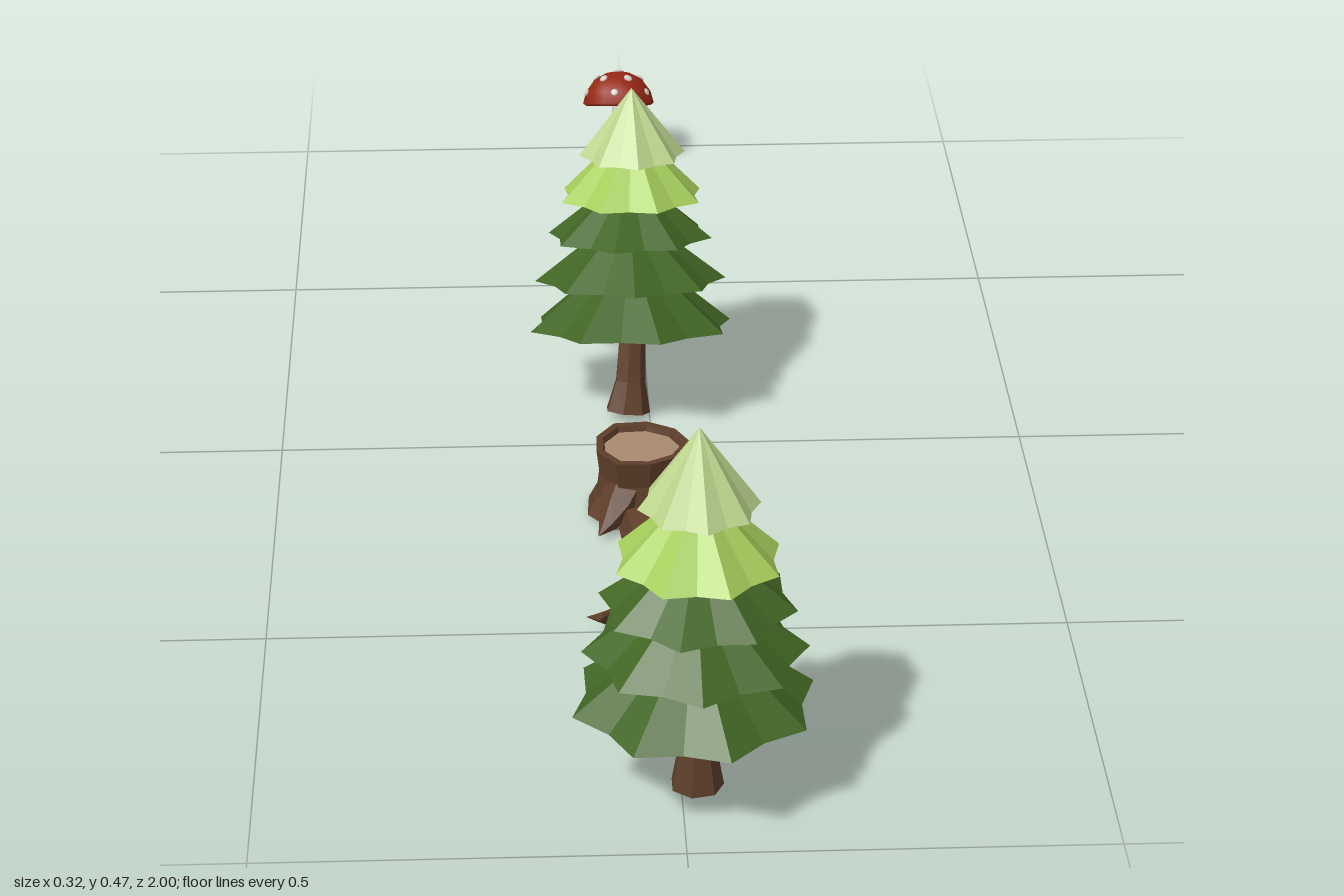
import * as THREE from 'three';

const mat = (name, color, side = THREE.FrontSide) => new THREE.MeshStandardMaterial({ name, color, side });
const M = {
  darkGreen: mat('dark green', 0x426624, THREE.DoubleSide),
  midGreen: mat('light green', 0xa6ce5c, THREE.DoubleSide),
  paleGreen: mat('pale green', 0xbcd68e, THREE.DoubleSide),
  bark: mat('bark', 0x5e3e2a),
  wood: mat('cut wood', 0xa88a70, THREE.DoubleSide),
  stone: mat('light stone', 0xa4a4a8),
  darkStone: mat('dark stone', 0x626266, THREE.DoubleSide),
  red: mat('cap red', 0x962814),
  cream: mat('cream', 0xd6d0cc),
  olive: mat('olive', 0x6e8644, THREE.DoubleSide),
};
const V = (x, y, z) => new THREE.Vector3(x, y, z);
const UP = V(0, 1, 0);

function add(parent, name, geo, material) {
  const mesh = new THREE.Mesh(geo, material);
  mesh.name = name;
  parent.add(mesh);
  return mesh;
}

function group(parent, name) {
  const g = new THREE.Group();
  g.name = name;
  parent.add(g);
  return g;
}

// Faceted skin over rings [x, y, z, radius]; wobble(angle, ring) scales the radius
function loft(rings, sides, axis = null, wobble = () => 1) {
  const pos = [], idx = [], q = new THREE.Quaternion(), n = rings.length;
  rings.forEach(([x, y, z, r], i) => {
    const a = rings[Math.max(i - 1, 0)], b = rings[Math.min(i + 1, n - 1)];
    q.setFromUnitVectors(UP, axis || V(b[0] - a[0], b[1] - a[1], b[2] - a[2]).normalize());
    for (let s = 0; s < sides; s++) {
      const t = s / sides * Math.PI * 2, k = r * wobble(t, i);
      const p = V(Math.cos(t) * k, 0, Math.sin(t) * k).applyQuaternion(q);
      pos.push(p.x + x, p.y + y, p.z + z);
      if (i < n - 1) {
        const b0 = i * sides + s, b1 = i * sides + (s + 1) % sides;
        idx.push(b0, b0 + sides, b1 + sides, b0, b1 + sides, b1);
      }
    }
  });
  const geo = new THREE.BufferGeometry();
  geo.setAttribute('position', new THREE.Float32BufferAttribute(pos, 3));
  geo.setIndex(idx);
  const flat = geo.toNonIndexed();
  flat.computeVertexNormals();
  return flat;
}

// Open cone whose rim is an eight-pointed star
function skirt(r, h, phase) {
  const geo = new THREE.ConeGeometry(r, h, 16, 1, true, phase).toNonIndexed();
  const p = geo.attributes.position;
  for (let i = 0; i < p.count; i++) {
    if (p.getY(i) > 0) continue;
    const step = Math.round((Math.atan2(p.getX(i), p.getZ(i)) - phase) / (Math.PI / 8));
    const k = step % 2 ? 0.86 : 1;
    p.setXYZ(i, p.getX(i) * k, p.getY(i), p.getZ(i) * k);
  }
  geo.translate(0, h / 2, 0);
  geo.computeVertexNormals();
  return geo;
}

// tiers: [x, y, z, radius, height, tilt in degrees]
function tree(parent, name, trunk, tiers) {
  const g = group(parent, name);
  add(g, 'trunk', loft(trunk, 7), M.bark);
  tiers.forEach(([x, y, z, r, h, tilt], i) => {
    const m = add(g, 'branchTier', skirt(r, h, 0.25 + i * 0.55), [M.darkGreen, M.darkGreen, M.darkGreen, M.midGreen, M.paleGreen][i]);
    m.position.set(x, y, z);
    m.rotation.x = -tilt * Math.PI / 180;
  });
}

// Faceted boulder with repeatable dents
function rock(parent, name, at, size, turn, material, seed) {
  const geo = new THREE.IcosahedronGeometry(1, 1), p = geo.attributes.position, v = V(0, 0, 0);
  for (let i = 0; i < p.count; i++) {
    v.fromBufferAttribute(p, i);
    const k = 0.94 + 0.12 * Math.sin(v.x * 4.1 + seed) * Math.cos(v.y * 3.3 + v.z * 5.2 + seed);
    p.setXYZ(i, v.x * k, Math.max(v.y * k, -0.8), v.z * k);
  }
  geo.scale(...size);
  geo.computeVertexNormals();
  const m = add(parent, name, geo, material);
  m.position.set(...at);
  m.rotation.y = turn;
}

export function createModel() {
  const root = new THREE.Group();
  root.name = 'forestSet';

  // Straight and leaning conifers
  tree(root, 'straightTree',
    [[0.018, 0.005, 0.86, 0], [0.018, 0.005, 0.86, 0.032], [0.018, 0.06, 0.86, 0.022], [0.018, 0.14, 0.86, 0.018], [0.018, 0.3, 0.86, 0.008]],
    [[0.014, 0.12, 0.858, 0.146, 0.115, 0], [0.016, 0.187, 0.858, 0.132, 0.1, 0], [0.018, 0.25, 0.86, 0.116, 0.09, 0],
      [0.018, 0.306, 0.86, 0.1, 0.1, 0], [0.019, 0.375, 0.86, 0.071, 0.1, 0]]);
  tree(root, 'leaningTree',
    [[-0.03, 0.008, -0.083, 0], [-0.03, 0.009, -0.083, 0.031], [-0.026, 0.05, -0.094, 0.021], [-0.022, 0.12, -0.115, 0.018], [-0.022, 0.28, -0.15, 0.008]],
    [[-0.024, 0.122, -0.118, 0.142, 0.115, 15], [-0.024, 0.185, -0.133, 0.13, 0.1, 14], [-0.024, 0.245, -0.146, 0.113, 0.09, 12],
      [-0.022, 0.3, -0.156, 0.1, 0.1, 9], [-0.021, 0.362, -0.157, 0.072, 0.093, 5]]);

  // Hollow fallen log with broken branches
  const log = group(root, 'fallenLog');
  add(log, 'logTrunk', loft([
    [-0.018, 0.045, 0.37, 0], [-0.018, 0.045, 0.37, 0.02], [-0.018, 0.045, 0.325, 0.028], [-0.018, 0.045, 0.315, 0.037],
    [-0.012, 0.045, 0.38, 0.036], [0, 0.043, 0.46, 0.035], [-0.005, 0.042, 0.56, 0.034], [-0.013, 0.044, 0.64, 0.035],
    [-0.013, 0.045, 0.709, 0.038], [-0.013, 0.045, 0.705, 0.028], [-0.013, 0.045, 0.66, 0.02], [-0.013, 0.045, 0.66, 0],
  ], 8, V(0, 0, 1), (t, i) => 1 + 0.05 * Math.sin(t * 3 + i)), M.bark);
  [
    [[0.01, 0.04, 0.44, 0.014], [0.045, 0.04, 0.42, 0.01], [0.06, 0.034, 0.41, 0.009], [0.08, 0.032, 0.4, 0]],
    [[0.045, 0.04, 0.42, 0.007], [0.06, 0.05, 0.428, 0.005], [0.068, 0.05, 0.43, 0]],
    [[-0.02, 0.04, 0.53, 0.014], [-0.06, 0.043, 0.525, 0.01], [-0.08, 0.033, 0.52, 0.008], [-0.102, 0.026, 0.505, 0]],
    [[-0.07, 0.036, 0.52, 0.007], [-0.085, 0.045, 0.54, 0.005], [-0.09, 0.045, 0.55, 0]],
    [[0.005, 0.05, 0.62, 0.014], [0.035, 0.065, 0.615, 0.01], [0.06, 0.085, 0.61, 0.007], [0.068, 0.09, 0.605, 0]],
  ].forEach(b => add(log, 'brokenBranch', loft(b, 6), M.bark));

  // Stump with raised rim, pale cut face and roots
  const stump = group(root, 'stump');
  const sx = -0.022, sz = 0.18;
  add(stump, 'stumpBody', loft([
    [sx, 0.006, sz, 0], [sx, 0.006, sz, 0.075], [sx, 0.03, sz, 0.062], [sx, 0.06, sz, 0.058],
    [sx, 0.097, sz, 0.063], [sx, 0.097, sz, 0.053], [sx, 0.086, sz, 0.05],
  ], 9, UP, (t, i) => 1 + 0.05 * Math.sin(t * 3 + 1 + i * 0.1)), M.bark);
  const cut = add(stump, 'cutFace', new THREE.CircleGeometry(0.054, 9), M.wood);
  cut.rotation.x = -Math.PI / 2;
  cut.position.set(sx, 0.089, sz);
  [[-0.04, 0.05], [0.072, 0.25], [-0.08, 0.27], [0.035, 0.1]].forEach(([x, z], i) => {
    const k = f => [sx + (x - sx) * f, sz + (z - sz) * f];
    const p = (f, y, r) => [k(f)[0], y, k(f)[1], r];
    add(stump, 'root', loft(i < 3 ? [p(0.25, 0.055, 0.03), p(0.55, 0.03, 0.025), p(0.8, 0.016, 0.012), p(1, 0.009, 0)]
      : [p(0.3, 0.045, 0.025), p(0.7, 0.02, 0.015), p(0.9, 0.01, 0)], 6), M.bark);
  });

  // Rock pile
  const rocks = group(root, 'rockPile');
  rock(rocks, 'topRock', [-0.04, 0.062, -0.362], [0.038, 0.042, 0.044], 0.5, M.stone, 1);
  rock(rocks, 'sideRock', [-0.065, 0.033, -0.395], [0.036, 0.034, 0.042], 0.6, M.darkStone, 3);
  rock(rocks, 'frontRock', [-0.04, 0.03, -0.315], [0.03, 0.03, 0.03], 0.2, M.darkStone, 5);
  rock(rocks, 'lowRock', [-0.02, 0.026, -0.375], [0.028, 0.027, 0.048], -0.2, M.darkStone, 2);

  // Grass tuft: curved tapering blades
  const grass = group(root, 'grassTuft');
  for (let i = 0; i < 16; i++) {
    const a = i * 2.4, reach = 0.012 + 0.032 * ((i * 7) % 16) / 16, h = 0.115 - reach * 1.1;
    const at = (f, y, r) => [-0.035 + Math.cos(a) * (0.008 + reach * f), 0.008 + y * h, -0.555 + Math.sin(a) * (0.008 + reach * f), r];
    add(grass, 'blade', loft([at(0, 0, 0.0035), at(0.3, 0.5, 0.003), at(1, 1, 0)], 3), M.darkGreen);
  }

  // Three small plants with star-shaped heads
  const star = new THREE.Shape();
  for (let i = 0; i < 12; i++) {
    const a = i / 12 * Math.PI * 2, r = i % 2 ? 0.009 : 0.027;
    star[i ? 'lineTo' : 'moveTo'](Math.cos(a) * r, Math.sin(a) * r);
  }
  const starGeo = new THREE.ShapeGeometry(star);
  [[-0.672, M.darkStone], [-0.757, M.bark], [-0.832, M.olive]].forEach(([z, m]) => {
    const plant = group(root, 'smallPlant');
    add(plant, 'stem', loft([[-0.018, 0.008, z - 0.008, 0.005], [-0.022, 0.045, z - 0.006, 0.004], [-0.017, 0.07, z + 0.004, 0.004], [-0.018, 0.098, z, 0.003]], 5), M.darkGreen);
    const head = add(plant, 'leafStar', starGeo, m === M.bark ? M.wood : m);
    head.position.set(-0.017, 0.098, z);
    head.quaternion.setFromUnitVectors(V(0, 0, 1), V(0.55, 0.7, 0.1).normalize());
  });

  // Spotted mushroom with tilted cap
  const mushroom = group(root, 'mushroom');
  add(mushroom, 'stalk', loft([[-0.015, 0.006, -0.932, 0], [-0.015, 0.007, -0.932, 0.012], [-0.015, 0.025, -0.933, 0.014], [-0.015, 0.06, -0.94, 0.009], [-0.015, 0.11, -0.952, 0.009]], 8), M.cream);
  const cap = group(mushroom, 'cap');
  cap.position.set(-0.014, 0.098, -0.948);
  cap.rotation.x = -0.4;
  const profile = [[0, 0.012], [0.03, 0.008], [0.05, -0.004], [0.056, 0], [0.051, 0.018], [0.037, 0.037], [0.018, 0.047], [0, 0.05]];
  add(cap, 'capSkin', new THREE.LatheGeometry(profile.map(p => new THREE.Vector2(...p)), 14), M.red);
  add(cap, 'topSpot', new THREE.SphereGeometry(0.009, 8, 4).scale(1, 0.35, 1), M.cream).position.set(0, 0.049, 0);
  for (let i = 0; i < 11; i++) {
    const a = i * 2 * Math.PI / 11, low = i % 2, n = V(Math.cos(a), low ? 0.4 : 1, Math.sin(a)).normalize();
    const spot = add(cap, 'capSpot', new THREE.SphereGeometry(low ? 0.006 : 0.007, 8, 4).scale(1, 0.35, 1), M.cream);
    const r = low ? 0.0515 : 0.035;
    spot.position.set(Math.cos(a) * r, low ? 0.017 : 0.0385, Math.sin(a) * r);
    spot.quaternion.setFromUnitVectors(UP, n);
  }
  return root;
}
